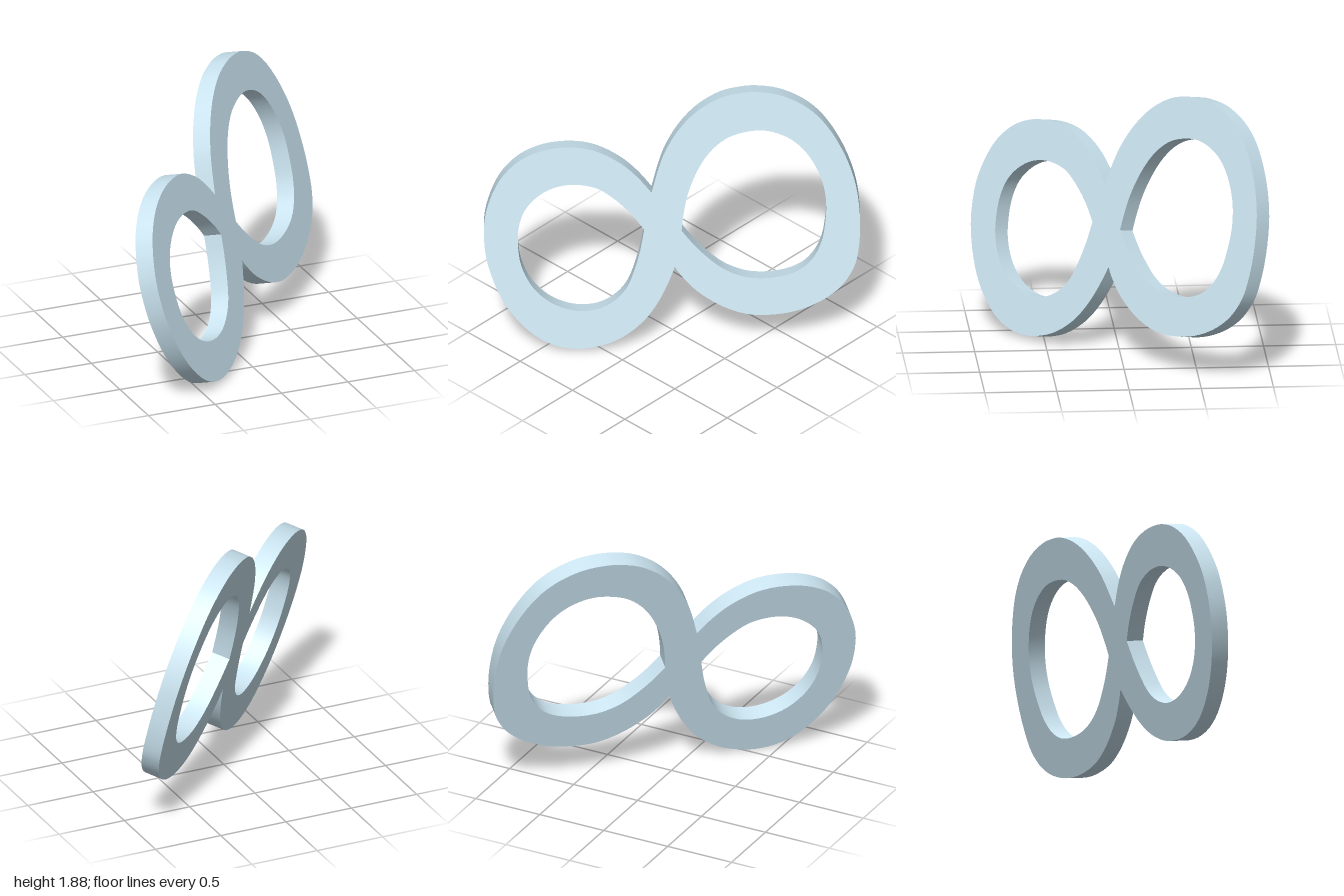
import * as THREE from 'three';
import { toCreasedNormals } from 'three/addons/utils/BufferGeometryUtils.js';

// Outer edge of each loop, clockwise between the two waist notches
const rightOuter = [
  [-0.11, 1.155], [-0.105, 1.34], [-0.09, 1.47], [-0.05, 1.615], [0.015, 1.74], [0.105, 1.83],
  [0.195, 1.867], [0.285, 1.878], [0.41, 1.855], [0.55, 1.775], [0.675, 1.645], [0.802, 1.44],
  [0.903, 1.205], [0.97, 0.94], [0.998, 0.71], [0.987, 0.578], [0.945, 0.465], [0.865, 0.37],
  [0.757, 0.305], [0.635, 0.278], [0.515, 0.285], [0.382, 0.342], [0.25, 0.44], [0.158, 0.54], [0.1, 0.62],
];
const leftOuter = [
  [0.1, 0.62], [0.083, 0.48], [0.055, 0.348], [0.008, 0.225], [-0.067, 0.123], [-0.152, 0.064],
  [-0.26, 0.034], [-0.377, 0.049], [-0.5, 0.118], [-0.634, 0.257], [-0.75, 0.44], [-0.848, 0.668],
  [-0.9, 0.882], [-0.912, 1.04], [-0.895, 1.2], [-0.858, 1.31], [-0.794, 1.4], [-0.698, 1.46],
  [-0.575, 1.48], [-0.447, 1.455], [-0.313, 1.374], [-0.206, 1.273], [-0.11, 1.155],
];

// Teardrop holes, each counter-clockwise from its cusp
const rightHole = [
  [0.088, 0.882], [0.195, 0.749], [0.329, 0.62], [0.447, 0.556], [0.553, 0.54], [0.66, 0.561],
  [0.735, 0.61], [0.778, 0.684], [0.798, 0.775], [0.8, 0.882], [0.778, 1.07], [0.725, 1.246],
  [0.639, 1.406], [0.543, 1.519], [0.436, 1.585], [0.335, 1.602], [0.227, 1.567], [0.158, 1.497],
  [0.11, 1.39], [0.083, 1.257], [0.073, 1.12], [0.078, 0.99], [0.088, 0.882],
];
const leftHole = [
  [-0.1, 0.888], [-0.179, 0.995], [-0.286, 1.107], [-0.393, 1.187], [-0.51, 1.212], [-0.607, 1.187],
  [-0.676, 1.123], [-0.719, 1.032], [-0.73, 0.92], [-0.714, 0.791], [-0.671, 0.636], [-0.596, 0.492],
  [-0.5, 0.385], [-0.404, 0.326], [-0.313, 0.305], [-0.227, 0.321], [-0.158, 0.38], [-0.115, 0.471],
  [-0.099, 0.588], [-0.094, 0.738], [-0.1, 0.888],
];

// Smooth run through the points, with sharp corners only at its ends
function addRun(path, points) {
  const [first, ...rest] = points.map(([x, y]) => new THREE.Vector2(x, y));
  if (path.curves.length === 0) path.moveTo(first.x, first.y);
  return path.splineThru(rest);
}

export function createModel() {
  const group = new THREE.Group();
  group.name = 'figureEight';

  const outline = new THREE.Shape();
  addRun(outline, rightOuter);
  addRun(outline, leftOuter);
  outline.holes = [rightHole, leftHole].map((points) => addRun(new THREE.Path(), points));

  const plate = new THREE.ExtrudeGeometry(outline, { depth: 1, bevelEnabled: false, curveSegments: 4 });
  plate.translate(0, 0, -1);

  // Lay the outline on the tilted plane and give it thickness along the plane's normal
  const normal = new THREE.Vector3(0.955, 0.35, 1);
  const waist = new THREE.Vector3(-0.005, 0.885, 0.088);
  const thickness = normal.clone().setLength(0.132);
  const tilt = new THREE.Matrix4().makeBasis(
    new THREE.Vector3(1, 0, -normal.x),
    new THREE.Vector3(0, 1, -normal.y),
    thickness,
  );
  tilt.setPosition(0, 0, normal.dot(waist));
  plate.applyMatrix4(tilt);

  const mesh = new THREE.Mesh(
    toCreasedNormals(plate, 0.5),
    new THREE.MeshStandardMaterial({ color: 0xcae4f0 }),
  );
  mesh.name = 'loopedPlate';
  group.add(mesh);
  return group;
}
